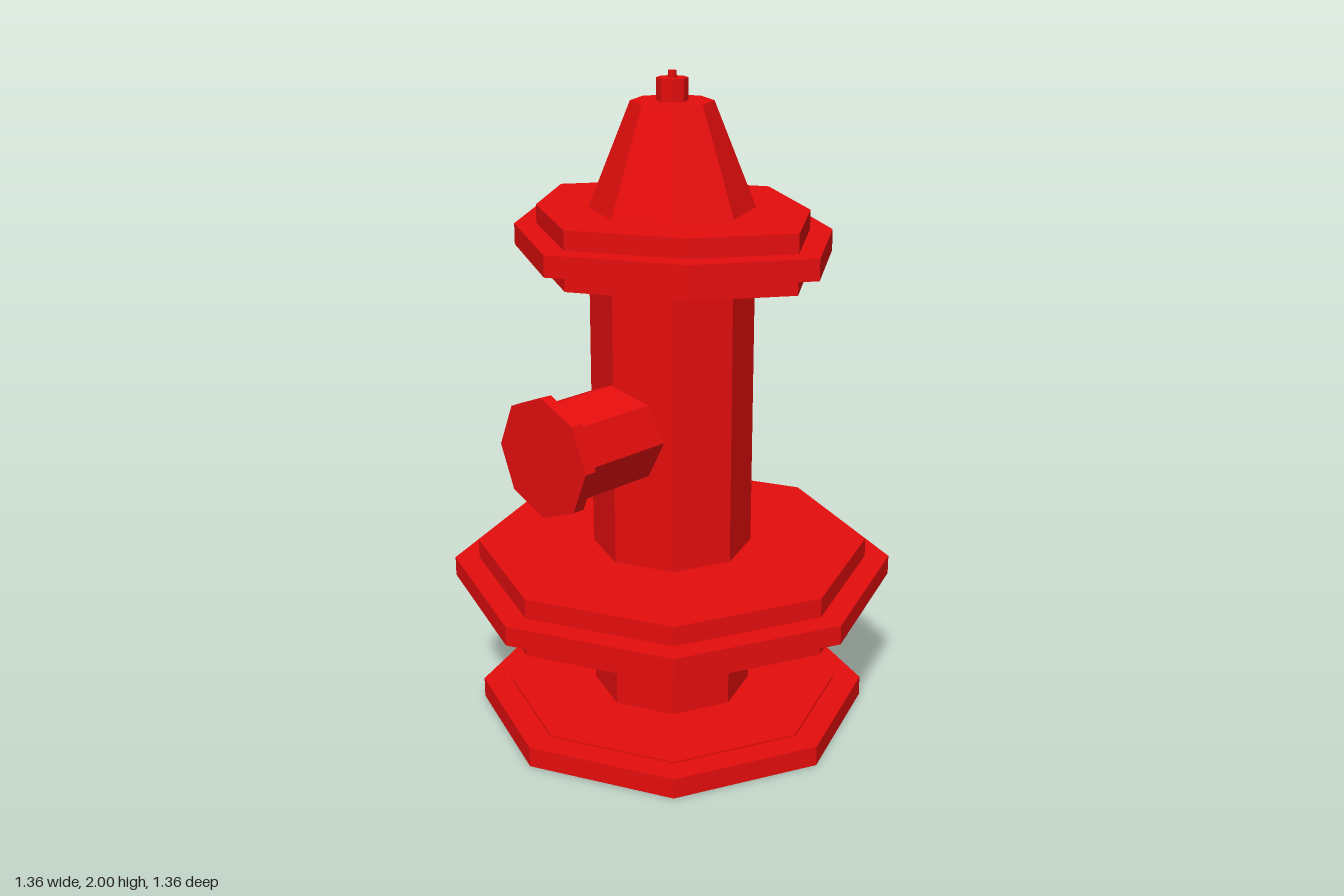
import * as THREE from 'three';

const SIDES = 8;
const paint = new THREE.MeshStandardMaterial({ color: 0xe60d0d, flatShading: true, side: THREE.DoubleSide });

function addMesh(parent, name, geometry) {
  const mesh = new THREE.Mesh(geometry, paint);
  mesh.name = name;
  parent.add(mesh);
  return mesh;
}

// Eight-sided turned part from [radius, height] pairs, listed upwards on the outside
function turned(profile) {
  return new THREE.LatheGeometry(profile.map(([r, y]) => new THREE.Vector2(r, y)), SIDES);
}

// Octagonal slab with different width and depth, pulled in at the diagonals, with a hole for the barrel
function slab(halfX, halfZ, y0, y1, hole) {
  const dx = halfX * 0.6, dz = halfZ * 0.64;
  const shape = new THREE.Shape([
    [halfX, 0], [dx, dz], [0, halfZ], [-dx, dz],
    [-halfX, 0], [-dx, -dz], [0, -halfZ], [dx, -dz],
  ].map(([x, z]) => new THREE.Vector2(x, z)));
  const opening = [];
  for (let i = 0; i < SIDES; i++) {
    const a = -i * Math.PI * 2 / SIDES;
    opening.push(new THREE.Vector2(Math.cos(a) * hole, Math.sin(a) * hole));
  }
  shape.holes.push(new THREE.Path(opening));
  return new THREE.ExtrudeGeometry(shape, { depth: y1 - y0, bevelEnabled: false })
    .rotateX(-Math.PI / 2).translate(0, y0, 0);
}

export function createModel() {
  const model = new THREE.Group();
  model.name = 'fireHydrant';
  const R = 0.245;

  // Hollow barrel, open underneath
  addMesh(model, 'barrel', turned([[R, 0], [R, 1.605]]));

  // Foot plate with a slightly raised centre and shallow recess below
  addMesh(model, 'footPlate', turned([
    [R, 0.004], [0.52, 0.004], [0.52, 0], [0.605, 0],
    [0.605, 0.063], [0.52, 0.063], [0.52, 0.069], [R, 0.069],
  ]));

  // Wide lower collar with a protruding rim
  addMesh(model, 'lowerCollar', turned([
    [R, 0.37], [0.605, 0.37], [0.605, 0.43], [0.68, 0.43],
    [0.68, 0.49], [0.605, 0.49], [0.605, 0.55], [R, 0.55],
  ]));

  // Upper collar, deeper than it is wide
  const upper = new THREE.Group();
  upper.name = 'upperCollar';
  addMesh(upper, 'upperCollarBody', slab(0.425, 0.487, 1.43, 1.605, R));
  addMesh(upper, 'upperCollarRim', slab(0.5, 0.562, 1.485, 1.548, R));
  model.add(upper);

  // Tapered bonnet and its operating nut
  addMesh(model, 'bonnet', turned([[R, 1.605], [0.121, 1.915], [0, 1.915]]));
  addMesh(model, 'operatingNut', turned([
    [0.046, 1.915], [0.046, 1.98], [0.012, 1.98], [0.012, 2], [0, 2],
  ]));

  // Side outlet on the right, turned upright then laid along -x
  const outlet = addMesh(model, 'sideOutlet', turned([
    [0, 0.175], [0.155, 0.175], [0.155, 0.48], [0.182, 0.48], [0.182, 0.518], [0, 0.518],
  ]));
  outlet.rotation.z = Math.PI / 2;
  outlet.position.set(0, 0.957, -0.007);

  return model;
}
